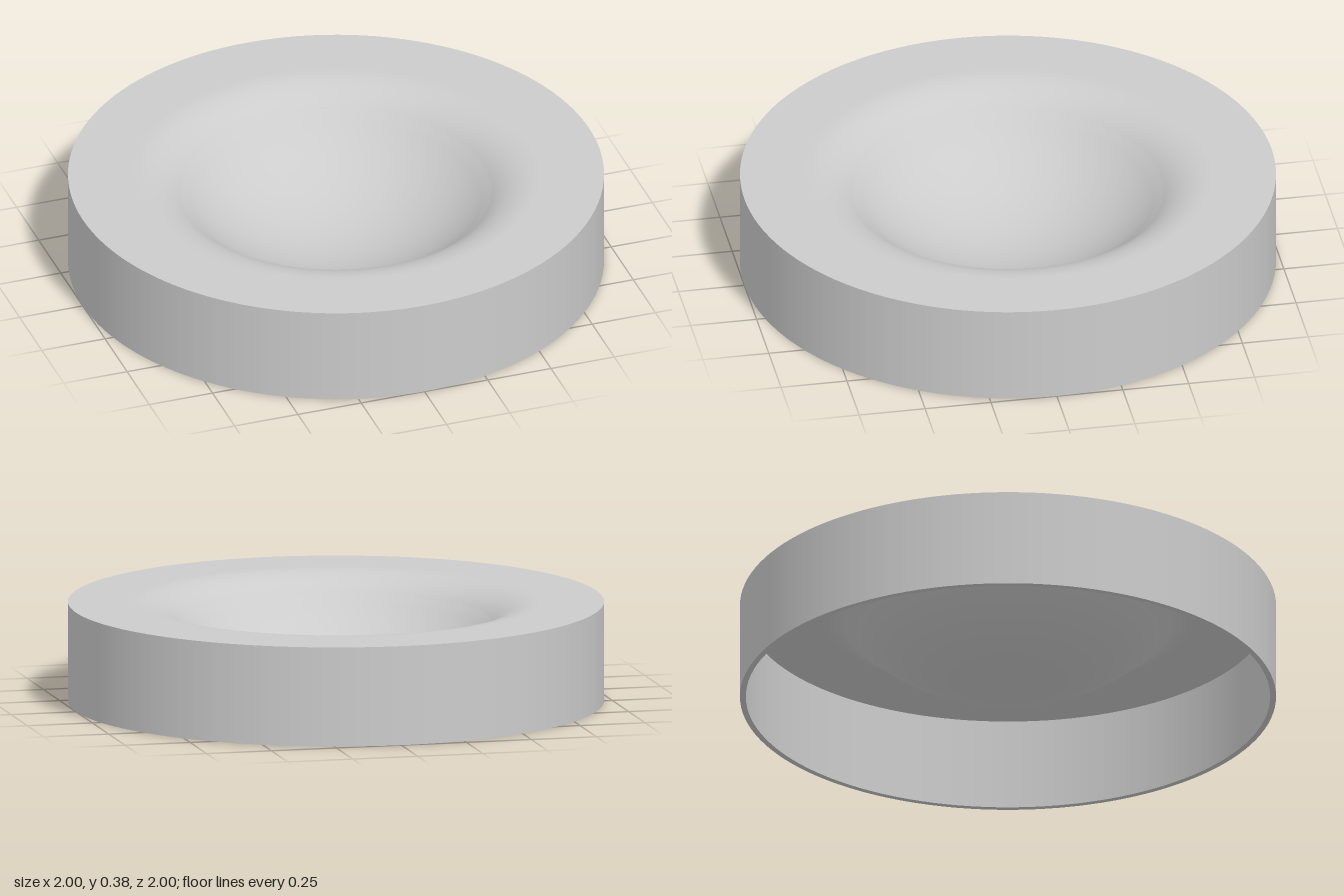
import * as THREE from 'three';

const HEIGHT = 0.375;   // overall height
const WALL = 0.022;     // shell thickness
const LIP_R = 0.76;     // where the flat top starts to roll into the bowl
const FILLET = 0.26;    // radius of the rolled lip
const BOWL = 0.81;      // radius of the spherical bowl
const SLOPE = Math.PI / 4; // steepest slope, where lip meets bowl
const SEGMENTS = 128;

// Bowl cross-section from the flat top in to the axis, offset inward by t
function bowlProfile(t) {
  const points = [];
  const fillet = FILLET - t, bowl = BOWL + t;
  for (let i = 0; i <= 16; i++) {
    const a = SLOPE * i / 16;
    points.push(new THREE.Vector2(LIP_R - fillet * Math.sin(a), HEIGHT - FILLET + fillet * Math.cos(a)));
  }
  const end = points[points.length - 1];
  const centreY = end.y + bowl * Math.cos(SLOPE);
  const startAngle = Math.asin(end.x / bowl);
  for (let i = 1; i <= 28; i++) {
    const a = startAngle * (1 - i / 28);
    points.push(new THREE.Vector2(bowl * Math.sin(a), centreY - bowl * Math.cos(a)));
  }
  return points;
}

export function createModel() {
  const group = new THREE.Group();
  group.name = 'roundDish';
  const material = new THREE.MeshStandardMaterial({ color: 0xcccccc });

  const addLathe = (name, points) => {
    const mesh = new THREE.Mesh(new THREE.LatheGeometry(points, SEGMENTS), material);
    mesh.name = name;
    group.add(mesh);
  };
  const line = (x1, y1, x2, y2) => [new THREE.Vector2(x1, y1), new THREE.Vector2(x2, y2)];

  const inner = 1 - WALL, ceiling = HEIGHT - WALL;

  // Outside: wall, flat top and bowl
  addLathe('outerWall', line(1, 0, 1, HEIGHT));
  addLathe('topRing', line(1, HEIGHT, LIP_R, HEIGHT));
  addLathe('bowl', bowlProfile(0));

  // Hollow underside: the same shapes offset by the shell thickness
  addLathe('bowlUnderside', bowlProfile(WALL).reverse());
  addLathe('ringUnderside', line(LIP_R, ceiling, inner, ceiling));
  addLathe('innerWall', line(inner, ceiling, inner, 0));
  addLathe('footRim', line(inner, 0, 1, 0));

  return group;
}
